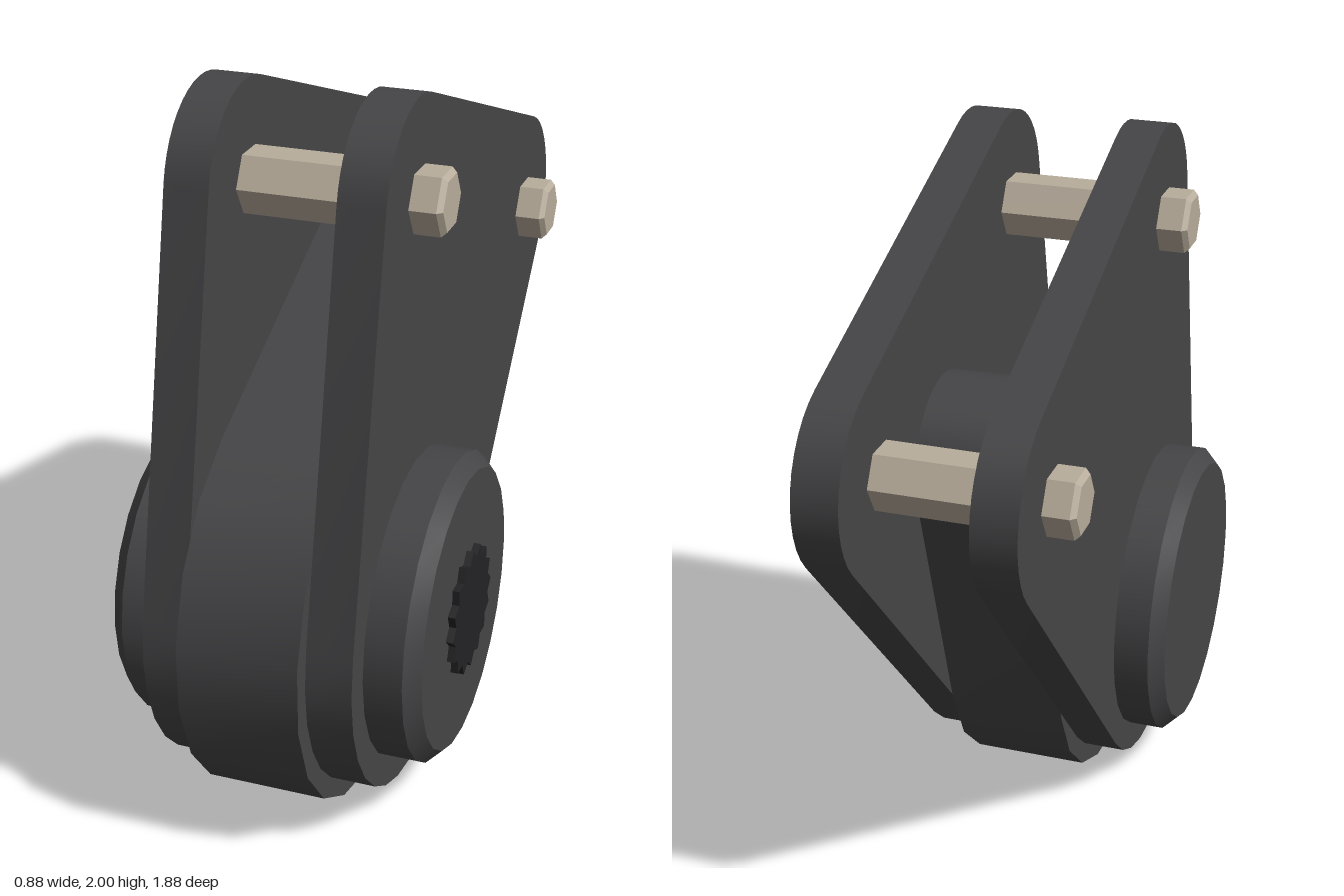
import * as THREE from 'three';
import { toCreasedNormals } from 'three/addons/utils/BufferGeometryUtils.js';

const dark = new THREE.MeshStandardMaterial({ color: 0x454547 });
const black = new THREE.MeshStandardMaterial({ color: 0x232325 });
const tan = new THREE.MeshStandardMaterial({ color: 0xb8ad9c });

// Profile circles as [u, y, radius], where u = -z
const HUB = [-0.37, 0.575];
const PIN_FRONT = [-0.37, 1.735];
const PIN_BACK = [0.67, 1.35];

// Outline wrapped tightly around circles listed counter-clockwise
function wrap(circles) {
  const n = circles.length;
  const normals = circles.map(([u, y, r], i) => {
    const [u2, y2, r2] = circles[(i + 1) % n];
    const d = Math.hypot(u2 - u, y2 - y);
    return Math.atan2(y2 - y, u2 - u) - Math.acos((r - r2) / d);
  });
  const shape = new THREE.Shape();
  circles.forEach(([u, y, r], i) => {
    shape.absarc(u, y, r, normals[(i + n - 1) % n], normals[i], false);
  });
  shape.closePath();
  return shape;
}

// Extrude a side profile across the width, from x0 to x1
function slab(name, shape, x0, x1, material, crease = 0.5) {
  const geo = new THREE.ExtrudeGeometry(shape, { depth: x1 - x0, bevelEnabled: false, curveSegments: 6 });
  geo.rotateY(Math.PI / 2).translate(x0, 0, 0);
  const mesh = new THREE.Mesh(toCreasedNormals(geo, crease), material);
  mesh.name = name;
  return mesh;
}

// Chamfered round or hexagonal bar lying along x
function bar(name, [u, y], r, x0, x1, chamfer, sides, material) {
  const profile = [
    [0, x0], [r - chamfer, x0], [r, x0 + chamfer],
    [r, x1 - chamfer], [r - chamfer, x1], [0, x1],
  ].map(([a, b]) => new THREE.Vector2(a, b));
  const geo = new THREE.LatheGeometry(profile, sides);
  geo.rotateZ(-Math.PI / 2).translate(0, y, -u);
  const mesh = new THREE.Mesh(toCreasedNormals(geo, 0.5), material);
  mesh.name = name;
  return mesh;
}

// Toothed shaft end
function splineShape([u, y], teeth, outer, inner) {
  const pts = [];
  for (let i = 0; i < teeth * 2; i++) {
    const a = (i * Math.PI) / teeth;
    const r = i % 2 ? inner : outer;
    pts.push(new THREE.Vector2(u + r * Math.cos(a), y + r * Math.sin(a)));
  }
  return new THREE.Shape(pts);
}

export function createModel() {
  const group = new THREE.Group();
  group.name = 'linkBracket';

  // Triangular side plates
  const plate = wrap([[...HUB, 0.515], [...PIN_BACK, 0.27], [...PIN_FRONT, 0.265]]);
  group.add(slab('rightPlate', plate, -0.3, -0.18, dark));
  group.add(slab('leftPlate', plate, 0.15, 0.275, dark));

  // Teardrop arm between the plates
  const arm = wrap([[...HUB, 0.575], [0.215, 1.22, 0.22]]);
  group.add(slab('centreArm', arm, -0.18, 0.15, dark));

  // Hub through all layers, with its toothed shaft end
  group.add(bar('hub', HUB, 0.43, -0.44, 0.42, 0.04, 24, dark));
  group.add(slab('splinedShaft', splineShape(HUB, 16, 0.18, 0.153), 0.4, 0.44, black, 0.2));

  // Hexagonal cross pins
  group.add(bar('frontPin', PIN_FRONT, 0.09, -0.385, 0.36, 0.014, 6, tan));
  group.add(bar('backPin', PIN_BACK, 0.09, -0.385, 0.36, 0.014, 6, tan));

  return group;
}
